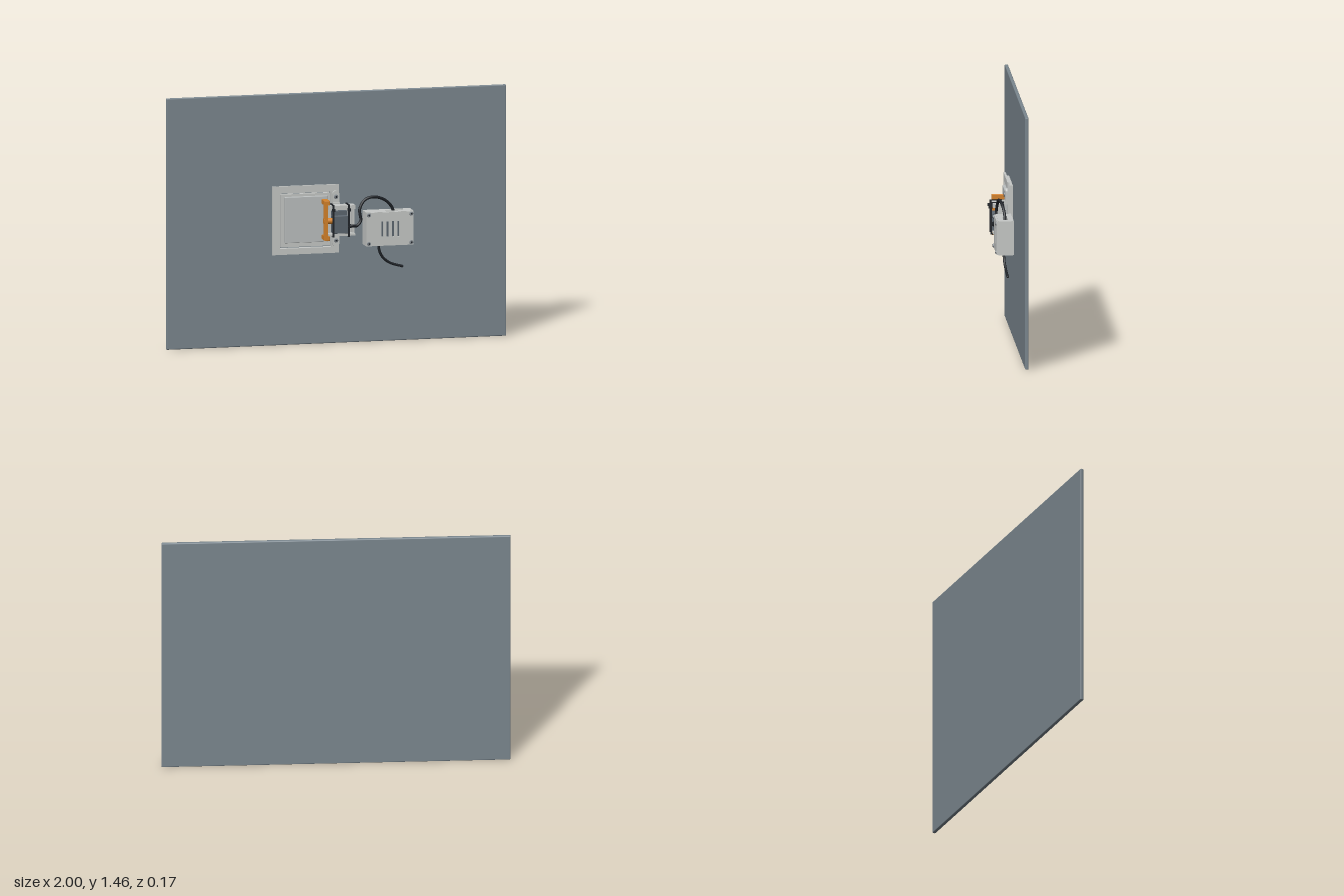
import * as THREE from 'three';
import { RoundedBoxGeometry } from 'three/addons/geometries/RoundedBoxGeometry.js';

const mat = (name, color) => {
  const m = new THREE.MeshStandardMaterial({ color });
  m.name = name;
  return m;
};

export function createModel() {
  const root = new THREE.Group();
  const wallGrey = mat('wall grey', 0x7b878f);
  const lightGrey = mat('light grey plastic', 0xc6c9c7);
  const doorGrey = mat('door grey', 0xbcc0c0);
  const servoGrey = mat('motor grey', 0x5c666f);
  const steel = mat('screw steel', 0x858c92);
  const black = mat('black rubber', 0x1f2328);
  const orange = mat('orange plastic', 0xd6832a);

  const add = (parent, name, geo, material) => {
    const m = new THREE.Mesh(geo, material);
    m.name = name;
    parent.add(m);
    return m;
  };
  const group = (name) => {
    const g = new THREE.Group();
    g.name = name;
    root.add(g);
    return g;
  };
  // box given by its limits, optionally with rounded edges
  const box = (parent, name, material, x0, x1, y0, y1, z0, z1, r = 0) => {
    const s = [x1 - x0, y1 - y0, z1 - z0];
    const geo = r ? new RoundedBoxGeometry(...s, 2, r) : new THREE.BoxGeometry(...s);
    const m = add(parent, name, geo, material);
    m.position.set((x0 + x1) / 2, (y0 + y1) / 2, (z0 + z1) / 2);
    return m;
  };
  const rectPoints = (x0, x1, y0, y1) => [[x0, y0], [x1, y0], [x1, y1], [x0, y1]].map((p) => new THREE.Vector2(...p));
  // rectangular plate with rectangular openings
  const plate = (parent, name, material, outer, holes, z0, z1) => {
    const shape = new THREE.Shape(rectPoints(...outer));
    holes.forEach((h) => shape.holes.push(new THREE.Path(rectPoints(...h))));
    const m = add(parent, name, new THREE.ExtrudeGeometry(shape, { depth: z1 - z0, bevelEnabled: false }), material);
    m.position.z = z0;
    return m;
  };
  // screw head facing the front, with a dark socket
  const screw = (parent, x, y, z, r) => {
    const h = 0.008;
    const head = add(parent, 'screwHead', new THREE.CylinderGeometry(r * 0.85, r, h, 16).rotateX(Math.PI / 2), steel);
    head.position.set(x, y, z + h / 2);
    const socket = add(parent, 'screwSocket', new THREE.CylinderGeometry(r * 0.45, r * 0.45, 0.002, 6).rotateX(Math.PI / 2), black);
    socket.position.set(x, y, z + h + 0.0005);
  };
  const cable = (parent, name, pts, r) => {
    const curve = new THREE.CatmullRomCurve3(pts.map((p) => new THREE.Vector3(...p)));
    add(parent, name, new THREE.TubeGeometry(curve, 64, r, 10), black);
    // closed cable ends
    [pts[0], pts[pts.length - 1]].forEach((p) => {
      add(parent, 'cableEnd', new THREE.SphereGeometry(r, 10, 8), black).position.set(...p);
    });
  };

  // large panel
  box(root, 'panel', wallGrey, -1, 1, 0, 1.46, -0.087, -0.067, 0.006);

  // hatch: flange, body behind it and the door
  const hatch = group('hatch');
  const opening = [-0.342, -0.04, 0.567, 0.888];
  plate(hatch, 'hatchFlange', lightGrey, [-0.387, 0.006, 0.532, 0.93], [opening], -0.037, -0.025);
  plate(hatch, 'hatchSleeve', lightGrey, [-0.37, -0.008, 0.55, 0.912], [opening], -0.056, -0.037);
  box(hatch, 'hatchDoorBack', lightGrey, -0.335, -0.047, 0.574, 0.881, -0.055, -0.034);
  box(hatch, 'hatchDoor', doorGrey, -0.316, -0.065, 0.6, 0.867, -0.034, -0.015, 0.003);

  // motor bracket with a mounting lug above and below
  const bracket = group('motorBracket');
  box(bracket, 'bracketBack', lightGrey, -0.075, 0.08, 0.645, 0.82, 0.004, 0.012);
  box(bracket, 'bracketTop', lightGrey, -0.075, 0.08, 0.797, 0.82, 0.004, 0.063);
  box(bracket, 'bracketBottom', lightGrey, -0.075, 0.08, 0.643, 0.656, 0.004, 0.063);
  box(bracket, 'bracketSide', lightGrey, 0.068, 0.08, 0.656, 0.797, 0.004, 0.04);
  for (const s of [1, -1]) {
    const y = 0.7325 + s * 0.122;
    const tab = new THREE.Shape();
    const w = 0.02;
    tab.moveTo(-w, -0.035);
    tab.lineTo(w, -0.035);
    tab.lineTo(w, 0.02);
    tab.absarc(0, 0.02, w, 0, Math.PI);
    tab.closePath();
    const lug = add(bracket, 'mountingLug', new THREE.ExtrudeGeometry(tab, { depth: 0.013, bevelEnabled: false, curveSegments: 10 }), lightGrey);
    lug.position.set(-0.015, y, s > 0 ? -0.025 : -0.012);
    if (s < 0) lug.rotation.x = Math.PI;
    const py = 0.7325 + s * 0.082;
    box(bracket, 'lugPost', lightGrey, -0.035, 0.005, py - 0.012, py + 0.012, -0.025, 0.006);
    screw(bracket, -0.015, y + s * 0.005, -0.012, 0.013);
  }

  // motor with its end caps and cable ties
  const motor = group('motor');
  box(motor, 'motorBody', servoGrey, -0.052, 0.038, 0.658, 0.762, 0.012, 0.068, 0.004);
  box(motor, 'motorEar', servoGrey, -0.052, 0.038, 0.762, 0.785, 0.012, 0.045);
  for (const x of [-0.049, 0.042]) {
    const tie = group('cableTie');
    const t = 0.005;
    box(tie, 'tieFront', black, x - t, x + t, 0.638, 0.79, 0.068, 0.074);
    box(tie, 'tieTop', black, x - t, x + t, 0.82, 0.825, -0.002, 0.07);
    box(tie, 'tieUpper', black, x - t, x + t, 0.785, 0.825, 0.064, 0.074);
    box(tie, 'tieBottom', black, x - t, x + t, 0.638, 0.643, -0.002, 0.07);
    box(tie, 'tieBack', black, x - t, x + t, 0.638, 0.825, -0.002, 0.003);
    box(tie, 'tieLock', black, x - 0.007, x + 0.007, 0.788, 0.804, 0.064, 0.087);
  }

  // orange lever pressing on the door
  const lever = group('lever');
  box(lever, 'leverBar', orange, -0.1, -0.078, 0.617, 0.85, 0.03, 0.06, 0.003);
  for (const y of [0.617, 0.822]) box(lever, 'leverArm', orange, -0.1, -0.068, y, y + 0.028, -0.013, 0.06, 0.003);
  const hub = add(lever, 'leverHub', new THREE.CylinderGeometry(0.018, 0.018, 0.05, 20).rotateZ(Math.PI / 2), orange);
  hub.position.set(-0.076, 0.73, 0.042);

  // control box: hollow shell with a cable slot on top and a vented lid
  const control = group('controlBox');
  const [bx0, bx1, by0, by1, bz0, bz1] = [0.146, 0.425, 0.575, 0.772, -0.036, 0.053];
  const wall = 0.01;
  box(control, 'boxBack', lightGrey, bx0, bx1, by0, by1, bz0, bz0 + wall);
  box(control, 'boxLeftSide', lightGrey, bx1 - wall, bx1, by0, by1, bz0 + wall, bz1);
  box(control, 'boxRightSide', lightGrey, bx0, bx0 + wall, by0, by1, bz0 + wall, bz1);
  box(control, 'boxFloor', lightGrey, bx0 + wall, bx1 - wall, by0, by0 + wall, bz0 + wall, bz1);
  const top = plate(control, 'boxTop', lightGrey, [bx0 + wall, bx1 - wall, -bz1, -bz0 - wall], [[0.27, 0.372, -0.021, 0.006]], 0, wall);
  top.rotation.x = -Math.PI / 2;
  top.position.y = by1 - wall;
  const vents = [0, 1, 2, 3].map((i) => [0.233 + i * 0.0315, 0.246 + i * 0.0315, 0.628, 0.717]);
  plate(control, 'ventedLid', lightGrey, [bx0 + 0.002, bx1 - 0.002, by0 + 0.002, by1 - 0.002], vents, bz1, 0.062);
  box(control, 'ventBacking', servoGrey, 0.22, 0.354, 0.62, 0.725, bz1 - 0.006, bz1 - 0.001);
  for (const x of [0.161, 0.41]) for (const y of [0.591, 0.757]) screw(control, x, y, 0.061, 0.012);

  // cables
  const cables = group('cables');
  cable(cables, 'motorCable', [
    [0.03, 0.695, 0.058], [0.06, 0.7, 0.06], [0.09, 0.698, 0.055], [0.115, 0.725, 0.05], [0.11, 0.79, 0.045],
    [0.14, 0.842, 0.038], [0.19, 0.858, 0.033], [0.26, 0.838, 0.02], [0.305, 0.795, 0.01], [0.32, 0.755, 0.008],
  ], 0.0085);
  cable(cables, 'supplyCable', [
    [0.23, 0.585, 0.012], [0.232, 0.55, 0.01], [0.25, 0.507, 0.007], [0.295, 0.468, 0.001], [0.372, 0.442, -0.004],
  ], 0.0075);
  const boot = add(cables, 'cableBoot', new THREE.CylinderGeometry(0.012, 0.012, 0.02, 14).rotateZ(Math.PI / 2), black);
  boot.position.set(0.046, 0.698, 0.058);

  return root;
}
